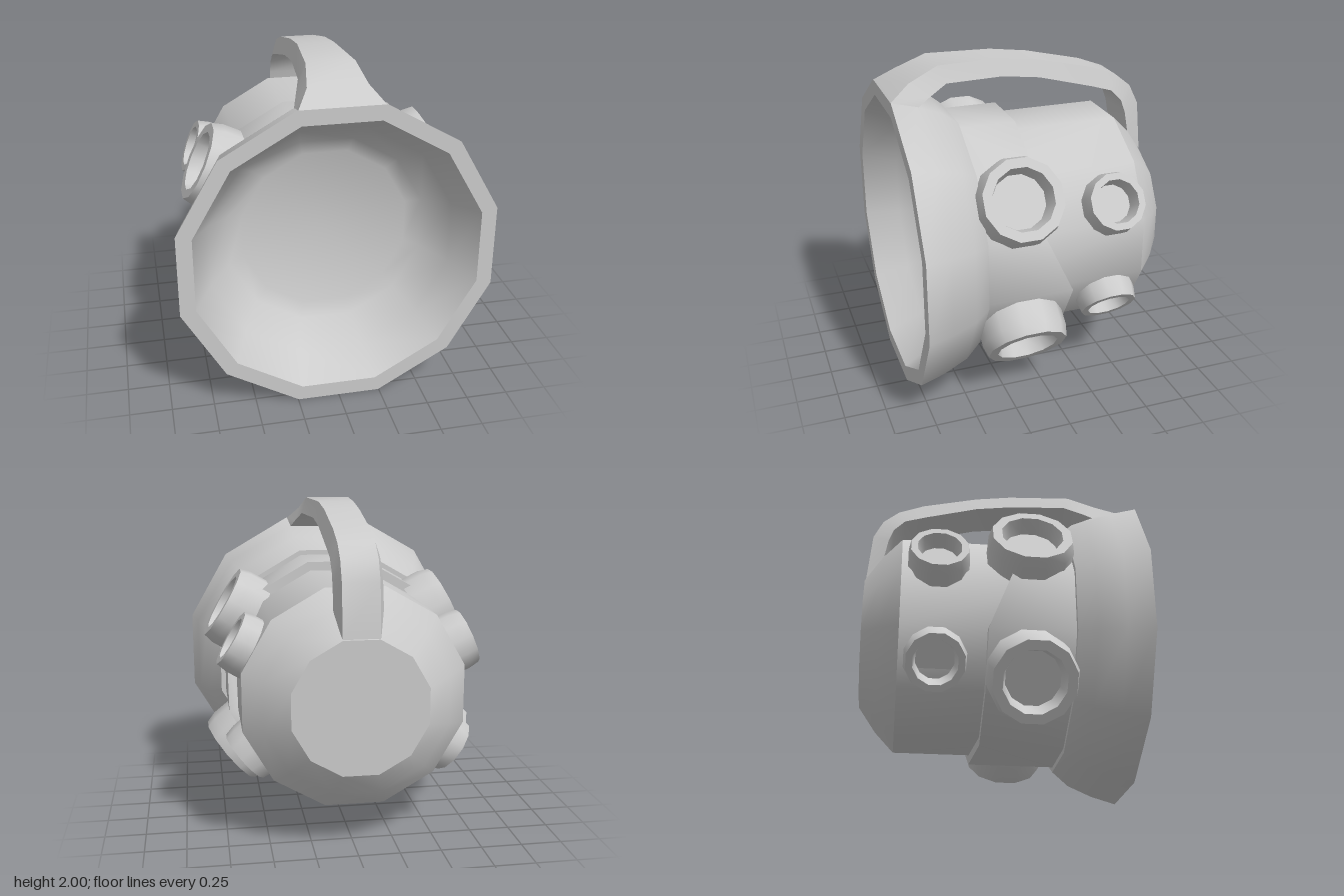
import * as THREE from 'three';
import { toCreasedNormals } from 'three/addons/utils/BufferGeometryUtils.js';

const SIDES = 12, CY = 0.92, CREASE = 0.6;
const APOTHEM = Math.cos(Math.PI / SIDES); // flat-to-flat radius / corner radius
const material = new THREE.MeshStandardMaterial({ color: 0xcccccc });

function addMesh(parent, name, geometry, crease = CREASE) {
  const mesh = new THREE.Mesh(toCreasedNormals(geometry, crease), material);
  mesh.name = name;
  parent.add(mesh);
  return mesh;
}

// Turned twelve-sided form; profile is [flat radius, height]
function turned(profile) {
  const pts = profile.map(([r, h]) => new THREE.Vector2(r / APOTHEM, h));
  return new THREE.LatheGeometry(pts, SIDES, Math.PI / SIDES);
}

// Joins equal-length closed cross-sections into a skin
function loft(sections) {
  const n = sections[0].length, index = [];
  for (let i = 0; i < sections.length - 1; i++) {
    for (let j = 0; j < n; j++) {
      const k = (j + 1) % n;
      const a = i * n + j, b = i * n + k, c = a + n, d = b + n;
      index.push(a, b, d, a, d, c);
    }
  }
  const g = new THREE.BufferGeometry();
  g.setAttribute('position', new THREE.Float32BufferAttribute(sections.flat(2), 3));
  g.setIndex(index);
  return g;
}

// Ring of corners around the z axis; depth may depend on the corner
function ring(apothem, depth) {
  return Array.from({ length: SIDES }, (_, i) => {
    const a = ((i + 0.5) * 2 * Math.PI) / SIDES, r = apothem / APOTHEM;
    const x = Math.cos(a) * r, y = Math.sin(a) * r;
    return [x, y, depth(x, y)];
  });
}

// Hollow socket pointing outward; degrees is its rise above the horizontal
function addSocket(parent, name, radius, x, y, z, degrees) {
  const s = radius;
  const mesh = addMesh(parent, name, turned([
    [s, -0.22], [s, -0.07], [s * 0.93, 0], [s * 0.71, 0], [s * 0.62, -0.1], [0, -0.1],
  ]));
  mesh.position.set(x, y, z);
  mesh.rotation.z = Math.sign(x) * THREE.MathUtils.degToRad(degrees - 90);
}

export function createModel() {
  const model = new THREE.Group();
  model.name = 'bellPot';

  // Closed rear body, flared bell and front rim in one turned shell
  const shell = addMesh(model, 'bodyAndBell', turned([
    [0, -0.81], [0.395, -0.81], [0.54, -0.705], [0.655, -0.59], [0.655, 0.41],
    [0.74, 0.41], [0.82, 0.51], [0.88, 0.66], [0.92, 0.81], [0.83, 0.81],
  ]).rotateX(Math.PI / 2));
  shell.position.y = CY;

  // Smooth hollow bowl inside the bell
  const bowl = addMesh(model, 'bowl', turned([
    [0.83, 0.81], [0.72, 0.6], [0.59, 0.43], [0.5, 0.39], [0, 0.36],
  ]).rotateX(Math.PI / 2), 1.2);
  bowl.position.y = CY;

  // Raised collar whose rear edge steps back on the lower half
  const rear = (x, y) => (y > 0 ? 0.06 : x > 0 ? -0.12 : -0.09);
  const collar = addMesh(model, 'collar', loft([
    ring(0.65, rear), ring(0.71, rear), ring(0.71, () => 0.42),
  ]));
  collar.position.y = CY;

  // Arched handle: [outer z, outer y, half width, inner z, inner y, half width]
  const handle = [
    [0.81, 1.84, 0.24, 0.66, 1.79, 0.236],
    [0.69, 1.92, 0.17, 0.58, 1.84, 0.21],
    [0.51, 2.0, 0.14, 0.47, 1.9, 0.175],
    [0.12, 2.0, 0.11, 0.12, 1.9, 0.145],
    [-0.11, 1.97, 0.107, -0.11, 1.87, 0.143],
    [-0.46, 1.89, 0.107, -0.45, 1.78, 0.143],
    [-0.62, 1.83, 0.107, -0.58, 1.74, 0.143],
    [-0.72, 1.75, 0.107, -0.65, 1.67, 0.143],
    [-0.78, 1.63, 0.107, -0.68, 1.59, 0.143],
    [-0.81, 1.32, 0.107, -0.71, 1.43, 0.143],
  ];
  addMesh(model, 'handle', loft(handle.map(([zo, yo, wo, zi, yi, wi]) => [
    [wo, yo, zo], [wi, yi, zi], [-wi, yi, zi], [-wo, yo, zo],
  ])));

  // Four large sockets on the collar and four small ones behind
  const sockets = new THREE.Group();
  sockets.name = 'sockets';
  model.add(sockets);
  addSocket(sockets, 'upperLeftLargeSocket', 0.25, 0.725, 1.37, 0.195, 31);
  addSocket(sockets, 'lowerLeftLargeSocket', 0.25, 0.695, 0.385, 0.158, -39);
  addSocket(sockets, 'upperRightLargeSocket', 0.25, -0.73, 1.335, 0.165, 26);
  addSocket(sockets, 'lowerRightLargeSocket', 0.25, -0.755, 0.39, 0.16, -35);
  addSocket(sockets, 'upperLeftSmallSocket', 0.178, 0.7, 1.26, -0.392, 31);
  addSocket(sockets, 'lowerLeftSmallSocket', 0.178, 0.635, 0.53, -0.392, -40);
  addSocket(sockets, 'upperRightSmallSocket', 0.178, -0.73, 1.22, -0.375, 22);
  addSocket(sockets, 'lowerRightSmallSocket', 0.178, -0.65, 0.525, -0.38, -36);
  return model;
}
